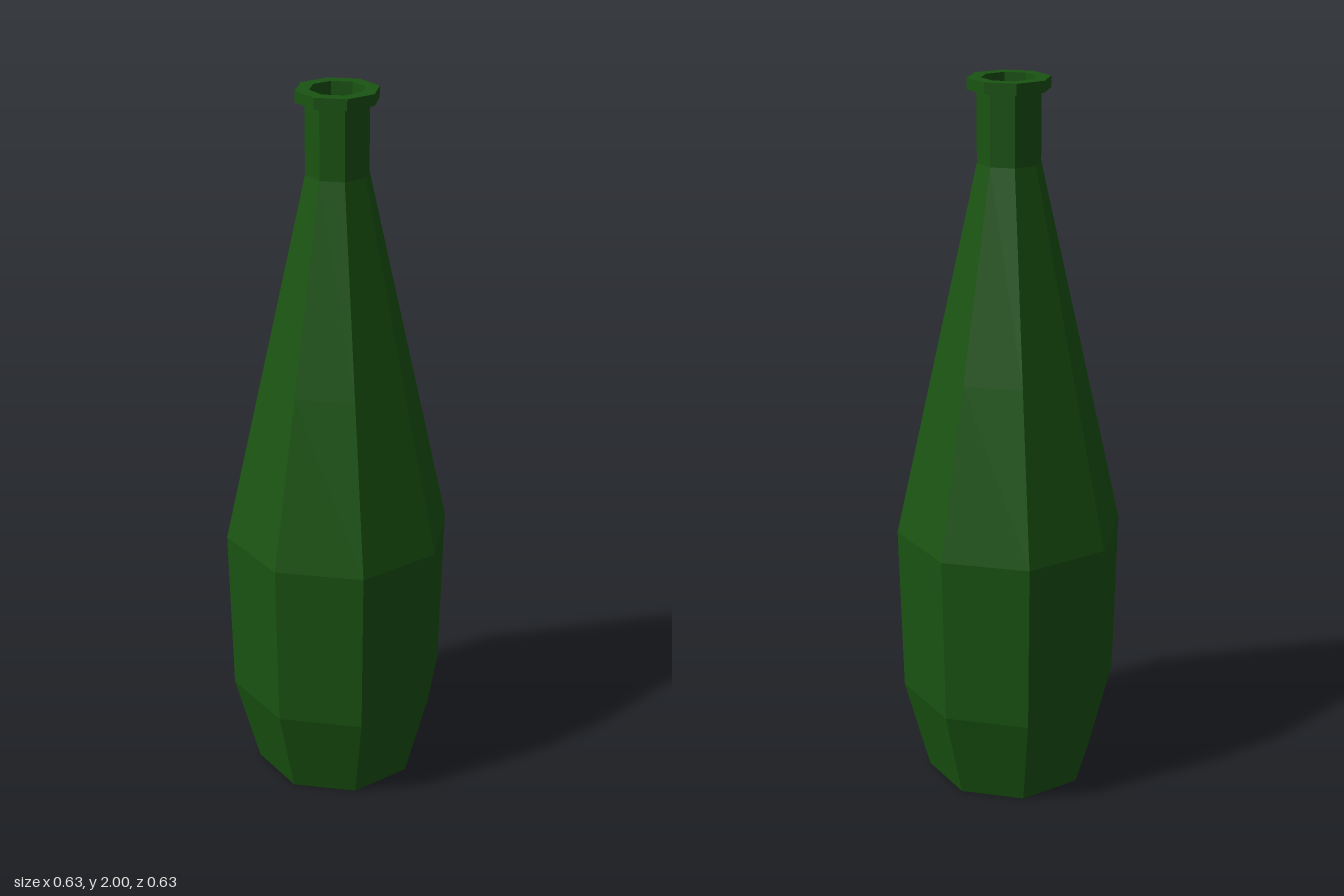
import * as THREE from 'three';

const SIDES = 8;
const glass = new THREE.MeshStandardMaterial({ color: 0x1a5412, flatShading: true });

// Eight-sided turned part from [radius, height] pairs, with corners on the axes
function turned(name, profile) {
  const points = profile.map(([r, y]) => new THREE.Vector2(r, y));
  const mesh = new THREE.Mesh(new THREE.LatheGeometry(points, SIDES), glass);
  mesh.name = name;
  return mesh;
}

export function createModel() {
  const bottle = new THREE.Group();
  bottle.name = 'bottle';

  bottle.add(
    // Closed base, tapered foot, belly, long shoulder and straight neck
    turned('body', [
      [0, 0], [0.235, 0], [0.305, 0.27], [0.315, 0.75],
      [0.21, 1.22], [0.085, 1.78], [0.085, 1.97],
    ]),
    // Flared collar around the mouth
    turned('lip', [[0.085, 1.97], [0.11, 1.97], [0.11, 2], [0.073, 2]]),
    // Recessed opening with a closed floor
    turned('mouth', [[0.073, 2], [0.073, 1.95], [0, 1.95]]),
  );
  return bottle;
}
